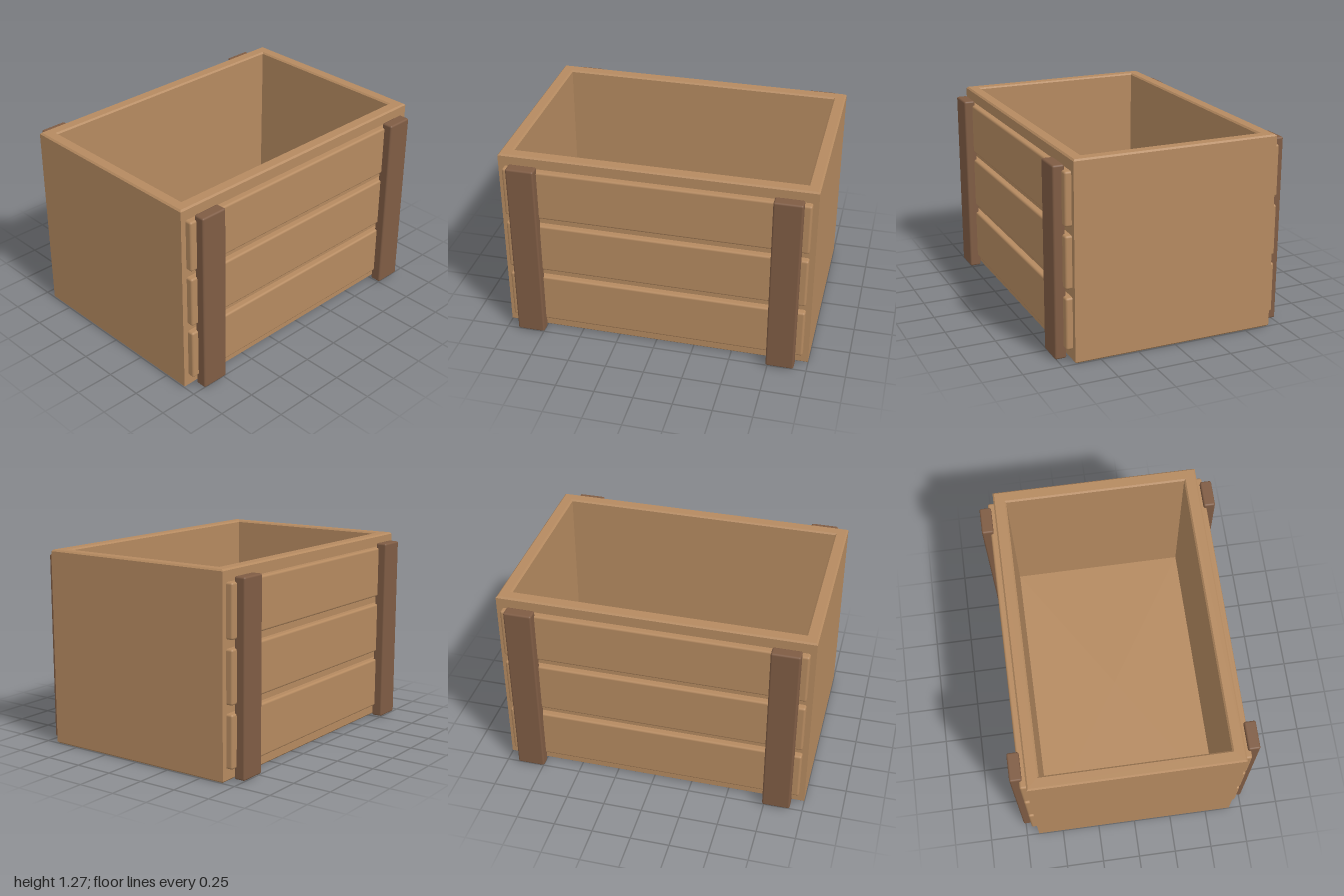
import * as THREE from 'three';
import { RoundedBoxGeometry } from 'three/addons/geometries/RoundedBoxGeometry.js';

// Rectangular loft: each ring is [half width, y, half depth]
function loftRectangles(rings) {
  const corners = [[1, 1], [1, -1], [-1, -1], [-1, 1]];
  const positions = [];
  const point = ([hx, y, hz], k) => [corners[k % 4][0] * hx, y, corners[k % 4][1] * hz];
  for (let i = 0; i < rings.length - 1; i++) {
    const a = rings[i], b = rings[i + 1];
    for (let k = 0; k < 4; k++) {
      const p = [point(a, k), point(a, k + 1), point(b, k + 1), point(b, k)];
      for (const n of [0, 1, 2, 0, 2, 3]) positions.push(...p[n]);
    }
  }
  const geometry = new THREE.BufferGeometry();
  geometry.setAttribute('position', new THREE.Float32BufferAttribute(positions, 3));
  geometry.computeVertexNormals();
  return geometry;
}

export function createModel() {
  const crate = new THREE.Group();
  crate.name = 'crate';
  const lightWood = new THREE.MeshStandardMaterial({ color: 0xb58a60 });
  lightWood.name = 'light wood';
  const darkWood = new THREE.MeshStandardMaterial({ color: 0x7f5c44 });
  darkWood.name = 'dark wood';

  const add = (name, geometry, material, x, y, z) => {
    const mesh = new THREE.Mesh(geometry, material);
    mesh.name = name;
    mesh.position.set(x, y, z);
    crate.add(mesh);
  };

  // Open box: underside, outer walls, chamfered rim, inner walls, floor
  const H = 1.27, c = 0.01;
  add('box', loftRectangles([
    [0, 0, 0], [1 - c, 0, 0.667 - c], [1, c, 0.667],
    [1, H - c, 0.667], [1 - c, H, 0.667 - c],
    [0.92 + c, H, 0.585 + c], [0.92, H - c, 0.585],
    [0.92, 0.08, 0.585], [0, 0.08, 0],
  ]), lightWood, 0, 0, 0);

  // Slats and upright battens on the front and back
  const slat = new RoundedBoxGeometry(1.93, 0.335, 0.06, 2, 0.014);
  const batten = new RoundedBoxGeometry(0.18, 1.215, 0.075, 2, 0.012);
  for (const side of [1, -1]) {
    const face = side > 0 ? 'front' : 'back';
    for (let i = 0; i < 3; i++) {
      add(`${face}Slat${i + 1}`, slat, lightWood, 0, 0.248 + i * 0.389, side * 0.68);
    }
    add(`${face}LeftBatten`, batten, darkWood, 0.83, 0.617, side * 0.7275);
    add(`${face}RightBatten`, batten, darkWood, -0.83, 0.617, side * 0.7275);
  }
  return crate;
}
